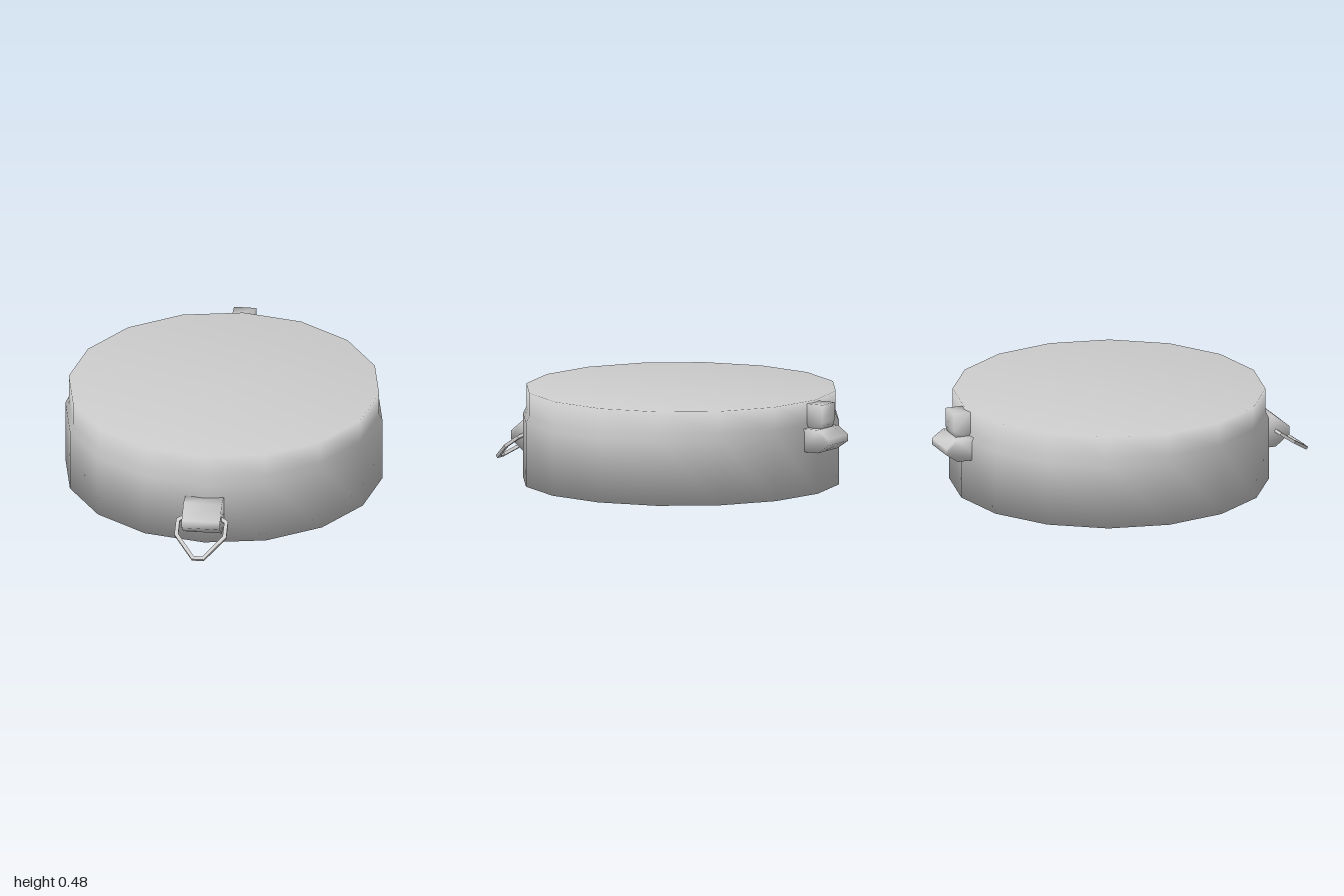
import * as THREE from 'three';
import { mergeVertices } from 'three/addons/utils/BufferGeometryUtils.js';

const toShape = (pts) => new THREE.Shape(pts.map(([a, b]) => new THREE.Vector2(a, b)));

// Shares corners so that shading runs smoothly over every edge
function smooth(geometry) {
  geometry.deleteAttribute('uv');
  geometry.deleteAttribute('normal');
  const merged = mergeVertices(geometry, 1e-4);
  merged.computeVertexNormals();
  return merged;
}

// Side profile in [z, y], extruded across x
function block(profile, width) {
  const g = new THREE.ExtrudeGeometry(toShape(profile), { depth: width, bevelEnabled: false });
  g.translate(0, 0, -width / 2);
  g.rotateY(-Math.PI / 2);
  return smooth(g);
}

// Completes a half outline by mirroring it in x
const mirrored = (half) => [...half, ...half.map(([x, y]) => [-x, y]).reverse()];

export function createModel() {
  const model = new THREE.Group();
  const grey = new THREE.MeshStandardMaterial({ color: 0xcccccc });
  grey.name = 'light grey';
  const add = (name, geometry) => {
    const mesh = new THREE.Mesh(geometry, grey);
    mesh.name = name;
    model.add(mesh);
    return mesh;
  };

  // Sixteen-sided drum with a slightly narrower upper band
  const profile = [[0, 0], [0.807, 0], [0.807, 0.325], [0.79, 0.36], [0.79, 0.478], [0, 0.478]];
  const drum = add('drumBody', new THREE.LatheGeometry(profile.map(([r, y]) => new THREE.Vector2(r, y)), 16));
  drum.position.z = -0.073;

  // Front lug that holds the wire loop
  add('frontLug', block([[0.7, 0.091], [0.797, 0.091], [0.871, 0.148], [0.871, 0.19], [0.797, 0.252], [0.7, 0.252]], 0.195));

  // Back lug and the small stud above it
  add('backLug', block([[-0.82, 0.225], [-0.82, 0.343], [-0.94, 0.343], [-1, 0.3], [-1, 0.268], [-0.938, 0.225]], 0.195));
  add('backStud', block([[-0.858, 0.335], [-0.845, 0.375], [-0.845, 0.466], [-0.943, 0.466], [-0.943, 0.375], [-0.93, 0.335]], 0.115));

  // Flat wire loop hanging forward and down from the front lug
  const outer = toShape(mirrored([[0.092, 0], [0.132, 0.025], [0.132, 0.118], [0.03, 0.252]]));
  outer.holes.push(toShape(mirrored([[0.082, 0.018], [0.113, 0.036], [0.113, 0.112], [0.021, 0.234]])));
  const loop = new THREE.ExtrudeGeometry(outer, { depth: 0.016, bevelEnabled: false });
  loop.translate(0, 0, -0.008);
  const wire = add('wireLoop', loop);
  wire.rotation.x = 2.18;
  wire.position.set(0, 0.18, 0.79);

  return model;
}
